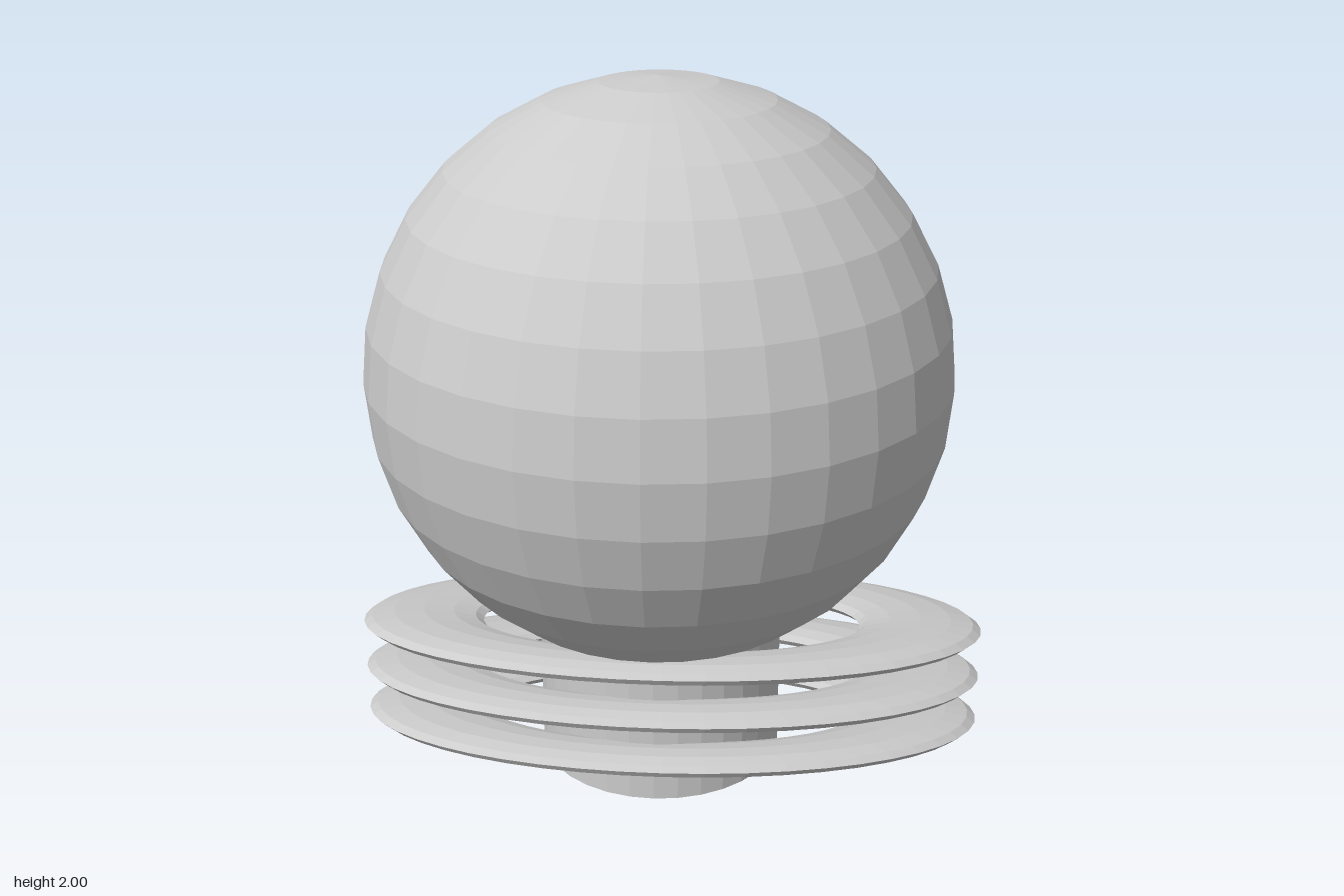
import * as THREE from 'three';

export function createModel() {
  const model = new THREE.Group();
  const material = new THREE.MeshStandardMaterial({ color: 0xcccccc, flatShading: true });
  const add = (name, geometry, x, y, z) => {
    const mesh = new THREE.Mesh(geometry, material);
    mesh.name = name;
    mesh.position.set(x, y, z);
    model.add(mesh);
    return mesh;
  };
  const axisX = -0.03;

  // Large faceted ball
  add('ball', new THREE.SphereGeometry(0.785, 32, 16), axisX, 1.215, 0);

  // Straight neck closed by a shallow dome underneath
  const profile = [[0, 0.005], [0.153, 0.018], [0.3, 0.066], [0.338, 0.085], [0.338, 0.54]]
    .map(([r, y]) => new THREE.Vector2(r, y));
  add('neck', new THREE.LatheGeometry(profile, 32), axisX, 0, 0);

  // Three flattened oval rings, tilted up towards the front
  const ringGeometry = new THREE.TorusGeometry(0.805, 0.195, 12, 48);
  ringGeometry.rotateX(Math.PI / 2);
  ringGeometry.scale(0.872, 0.165, 0.468);
  ringGeometry.rotateX(-0.145);
  [0.178, 0.314, 0.456].forEach((y, i) => add(`ring${i + 1}`, ringGeometry, 0, y, 0));

  return model;
}
